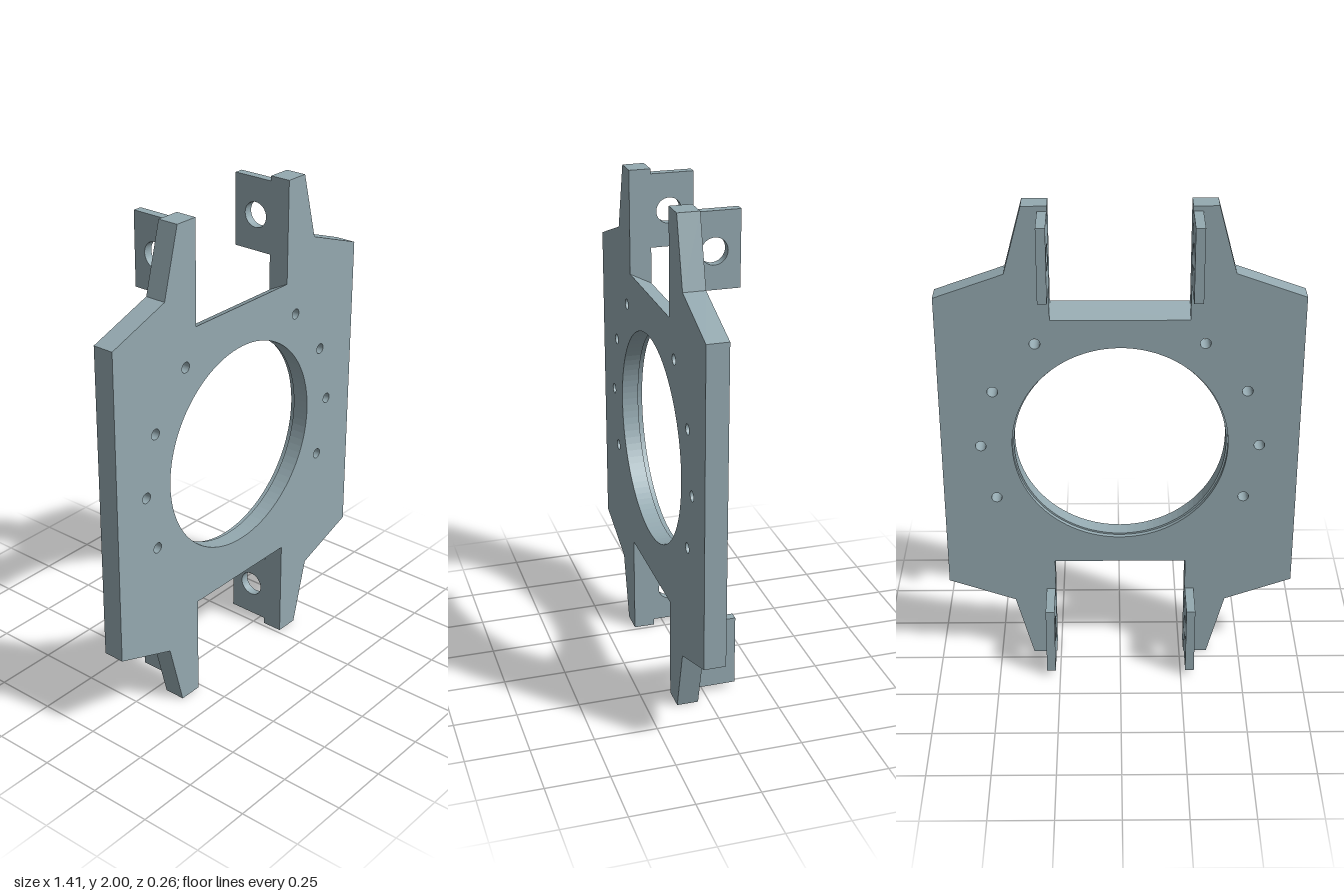
import * as THREE from 'three';

const material = new THREE.MeshStandardMaterial({ color: 0x94a9b0 });
const BACK = 0.043, FRONT = 0.129;

function circle(x, y, r) {
  return new THREE.Path().absarc(x, y, r, 0, Math.PI * 2, true);
}

function extrude(name, shape, depth, curveSegments) {
  const geometry = new THREE.ExtrudeGeometry(shape, { depth, bevelEnabled: false, curveSegments });
  const mesh = new THREE.Mesh(geometry, material);
  mesh.name = name;
  return mesh;
}

export function createModel() {
  const group = new THREE.Group();
  group.name = 'mountingBracket';

  // Plate outline, anticlockwise: one quarter mirrored to all four corners
  const quarter = [[0.707, 0.636], [0.436, 0.733], [0.365, 1], [0.268, 1], [0.268, 0.543]];
  const right = [...quarter.map(([x, y]) => [x, -y]).reverse(), ...quarter];
  const outline = [...right, ...right.map(([x, y]) => [-x, y]).reverse()]
    .map(([x, y]) => new THREE.Vector2(x, y + 1));
  const plateShape = new THREE.Shape(outline);
  plateShape.holes.push(circle(0, 1, 0.427));

  // Four bolt holes down each side of the bore
  for (const side of [-1, 1]) {
    for (const [x, y] of [[0.327, 1.445], [0.496, 1.24], [0.551, 1], [0.496, 0.764]]) {
      plateShape.holes.push(circle(side * x, y, 0.021));
    }
  }
  const plate = extrude('plate', plateShape, FRONT - BACK, 48);
  plate.position.z = BACK;
  group.add(plate);

  // Slope the slot floors: their front edges stand further out than the back ones
  const points = plate.geometry.attributes.position;
  for (let i = 0; i < points.count; i++) {
    const y = points.getY(i) - 1;
    const onFloor = Math.abs(Math.abs(y) - 0.543) < 1e-4 && Math.abs(Math.abs(points.getX(i)) - 0.268) < 1e-4;
    if (onFloor && points.getZ(i) > 0.01) points.setY(i, 1 + Math.sign(y) * 0.587);
  }
  plate.geometry.computeVertexNormals();

  // Thin lip inside the bore, leaving a shallow step at the back
  const lipShape = new THREE.Shape().absarc(0, 1, 0.427, 0, Math.PI * 2, false);
  lipShape.holes.push(circle(0, 1, 0.42));
  const lip = extrude('boreLip', lipShape, 0.067, 48);
  lip.position.z = FRONT - 0.067;
  group.add(lip);

  // Drilled lugs standing off the back of each arm
  const lugShape = new THREE.Shape([[-0.044, -0.147], [0.129, -0.147], [0.129, 0.146], [-0.044, 0.146]]
    .map(([x, y]) => new THREE.Vector2(x, y)));
  lugShape.holes.push(circle(0.03, -0.003, 0.051));
  for (const [level, y] of [['lower', 0.173], ['upper', 1.834]]) {
    for (const [side, x] of [['Left', 0.269], ['Right', -0.305]]) {
      const lug = extrude(level + side + 'Lug', lugShape, 0.036, 24);
      lug.rotation.y = Math.PI / 2;
      lug.position.set(x, y, 0);
      group.add(lug);
    }
  }
  return group;
}
